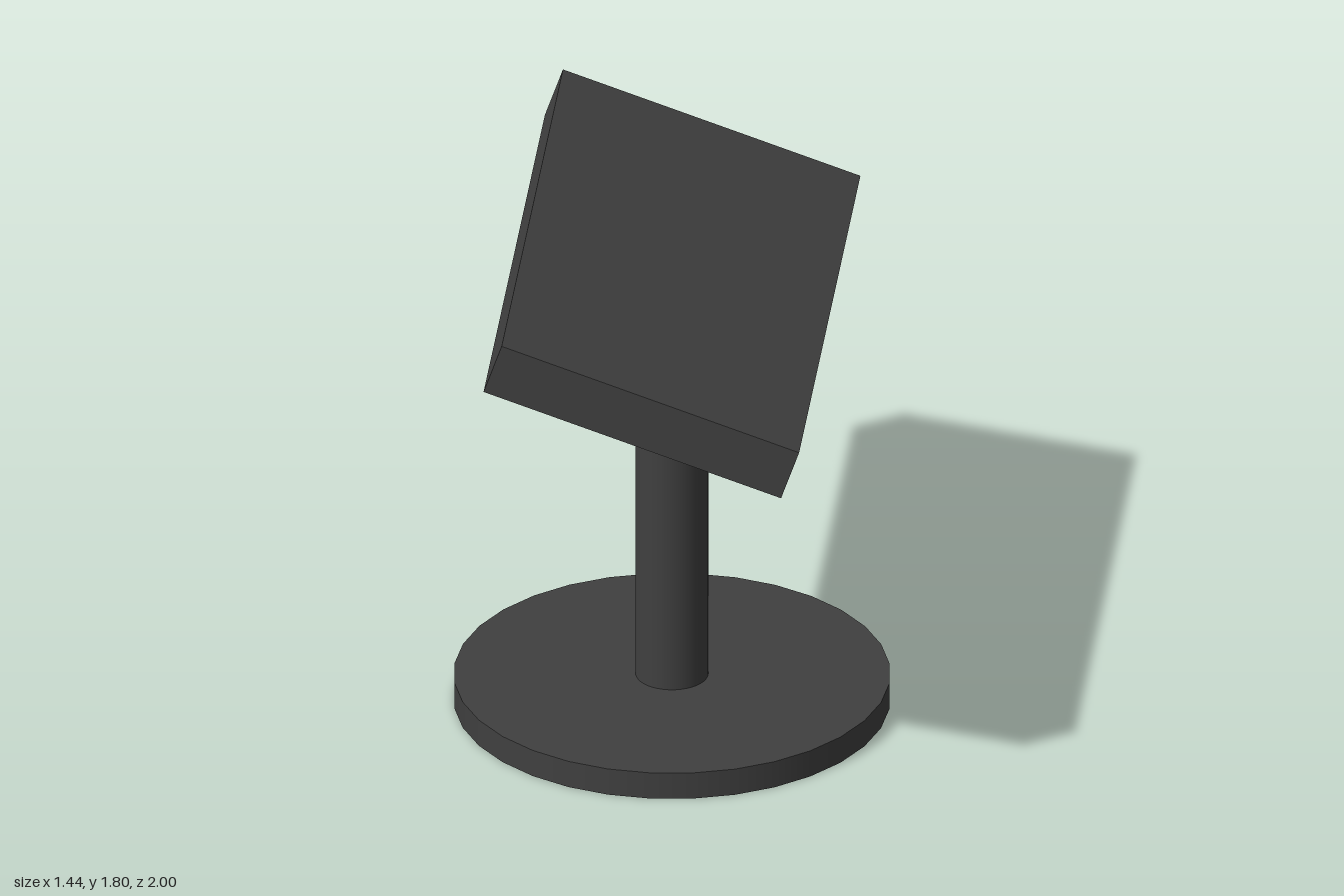
import * as THREE from 'three';

const material = new THREE.MeshStandardMaterial({ color: 0x404040 });

function addPart(group, name, geometry, y) {
  const mesh = new THREE.Mesh(geometry, material);
  mesh.name = name;
  mesh.position.y = y;
  group.add(mesh);
  return mesh;
}

export function createModel() {
  const group = new THREE.Group();
  group.name = 'lectern';

  // Round foot
  const baseHeight = 0.095;
  addPart(group, 'base', new THREE.CylinderGeometry(0.72, 0.72, baseHeight, 32), baseHeight / 2);

  // Column, its top hidden inside the sloping slab
  const top = 1.5;
  addPart(group, 'column', new THREE.CylinderGeometry(0.12, 0.12, top - baseHeight, 32), (top + baseHeight) / 2);

  // Sloping reading slab, lower towards +x
  const slab = addPart(group, 'slab', new THREE.BoxGeometry(1.043, 0.182, 2), 1.538);
  slab.rotation.z = -THREE.MathUtils.degToRad(19.2);

  return group;
}
